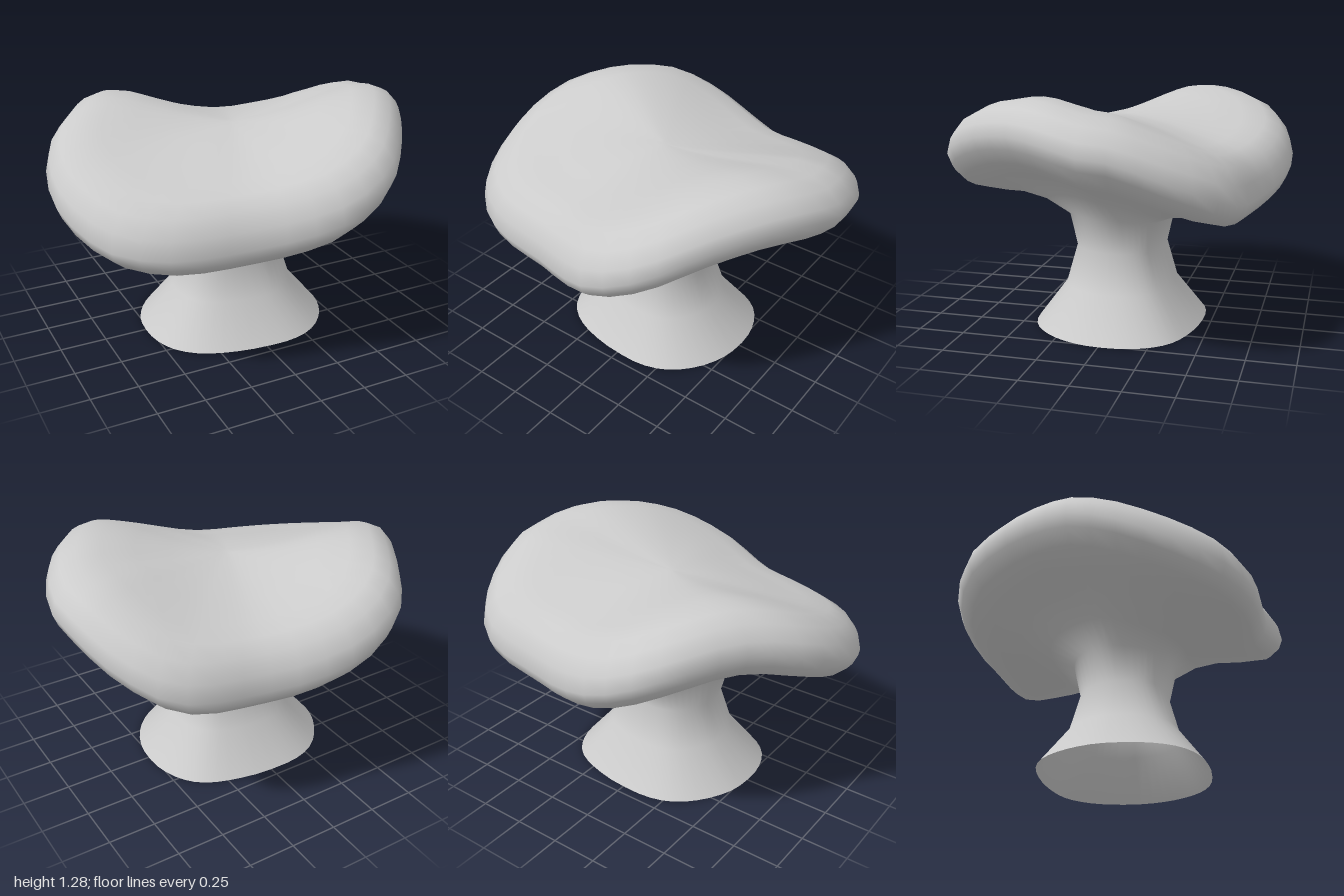
import * as THREE from 'three';

const SEGMENTS = 44;

// Wavy rim as seen from above: [x, lift, z]
const RIM = [
  [1, 0.16, -0.04], [0.99, 0.14, -0.2], [0.93, 0.06, -0.4], [0.84, -0.01, -0.56], [0.73, -0.07, -0.67],
  [0.59, -0.1, -0.73], [0.29, -0.12, -0.775], [0.08, -0.095, -0.84], [-0.15, -0.035, -0.89],
  [-0.34, 0.035, -0.875], [-0.5, 0.105, -0.795], [-0.63, 0.15, -0.65], [-0.73, 0.17, -0.5],
  [-0.84, 0.15, -0.35], [-0.94, 0.1, -0.2], [-0.995, 0.02, 0], [-0.995, -0.04, 0.15], [-0.945, -0.1, 0.34],
  [-0.86, -0.145, 0.5], [-0.73, -0.165, 0.61], [-0.57, -0.17, 0.685], [-0.2, -0.145, 0.765],
  [0, -0.1, 0.84], [0.18, -0.045, 0.885], [0.36, 0.025, 0.86], [0.52, 0.1, 0.77], [0.66, 0.17, 0.61],
  [0.77, 0.205, 0.46], [0.88, 0.22, 0.29], [0.96, 0.2, 0.13],
];

// Rings from the foot up: [outline scale, height, share of the rim's lift]
const STEM = [[0.52, 0, 0], [0.338, 0.215, 0], [0.272, 0.425, 0], [0.315, 0.6, 0.08]];
const CAP = [
  // underside
  [0.45, 0.675, 0.34], [0.62, 0.73, 0.55], [0.78, 0.752, 0.74], [0.91, 0.78, 0.92],
  // rounded rim
  [0.975, 0.84, 0.98], [1, 0.9, 1], [0.98, 0.98, 0.92], [0.92, 1.055, 0.86], [0.83, 1.1, 0.81],
  // dished top
  [0.7, 1.117, 0.75], [0.52, 1.125, 0.5], [0.34, 1.13, 0.24], [0.17, 1.133, 0.07],
  [0.04, 1.133, 0], [0, 1.133, 0],
];

// The stem's section: the rim's outline evened out towards a rounded oblong
function stemPoint(p) {
  const round = (v) => Math.sign(v) * Math.abs(v) ** 0.82;
  const a = Math.atan2(p.z, p.x);
  return new THREE.Vector3(round(Math.cos(a)), p.y, 0.87 * round(Math.sin(a))).lerp(p, 0.3);
}

// Indices of the quads between consecutive rings
function ringIndex(first, last) {
  const index = [];
  for (let i = first; i < last; i++) {
    for (let j = 0; j < SEGMENTS; j++) {
      const k = (j + 1) % SEGMENTS;
      const a = i * SEGMENTS + j, b = i * SEGMENTS + k;
      const c = a + SEGMENTS, d = b + SEGMENTS;
      index.push(a, b, c, b, d, c);
    }
  }
  return index;
}

export function createModel() {
  const group = new THREE.Group();
  const rim = new THREE.CatmullRomCurve3(RIM.map((p) => new THREE.Vector3(...p)), true)
    .getSpacedPoints(SEGMENTS).slice(0, SEGMENTS);

  // One continuous loft, so that the normals flow from stem to cap
  const positions = [];
  const addRings = (rings, outline) => {
    for (const [scale, y, share] of rings) {
      for (const p of outline) positions.push(p.x * scale, y + share * p.y, p.z * scale);
    }
  };
  addRings(STEM, rim.map(stemPoint));
  addRings(CAP, rim);
  const last = STEM.length + CAP.length - 1;
  const whole = new THREE.BufferGeometry();
  whole.setAttribute('position', new THREE.Float32BufferAttribute(positions, 3));
  whole.setIndex(ringIndex(0, last));
  whole.computeVertexNormals();

  // Level normals at the centre of the top
  const normals = whole.attributes.normal;
  for (let j = normals.count - SEGMENTS; j < normals.count; j++) normals.setXYZ(j, 0, 1, 0);

  // Stem (open at the foot) and cap share the vertices
  const material = new THREE.MeshStandardMaterial({ color: 0xcccccc, side: THREE.DoubleSide });
  const addPart = (name, from, to) => {
    const geometry = new THREE.BufferGeometry();
    geometry.setAttribute('position', whole.attributes.position);
    geometry.setAttribute('normal', normals);
    geometry.setIndex(ringIndex(from, to));
    const mesh = new THREE.Mesh(geometry, material);
    mesh.name = name;
    group.add(mesh);
  };
  addPart('stem', 0, STEM.length - 1);
  addPart('cap', STEM.length - 1, last);
  return group;
}
